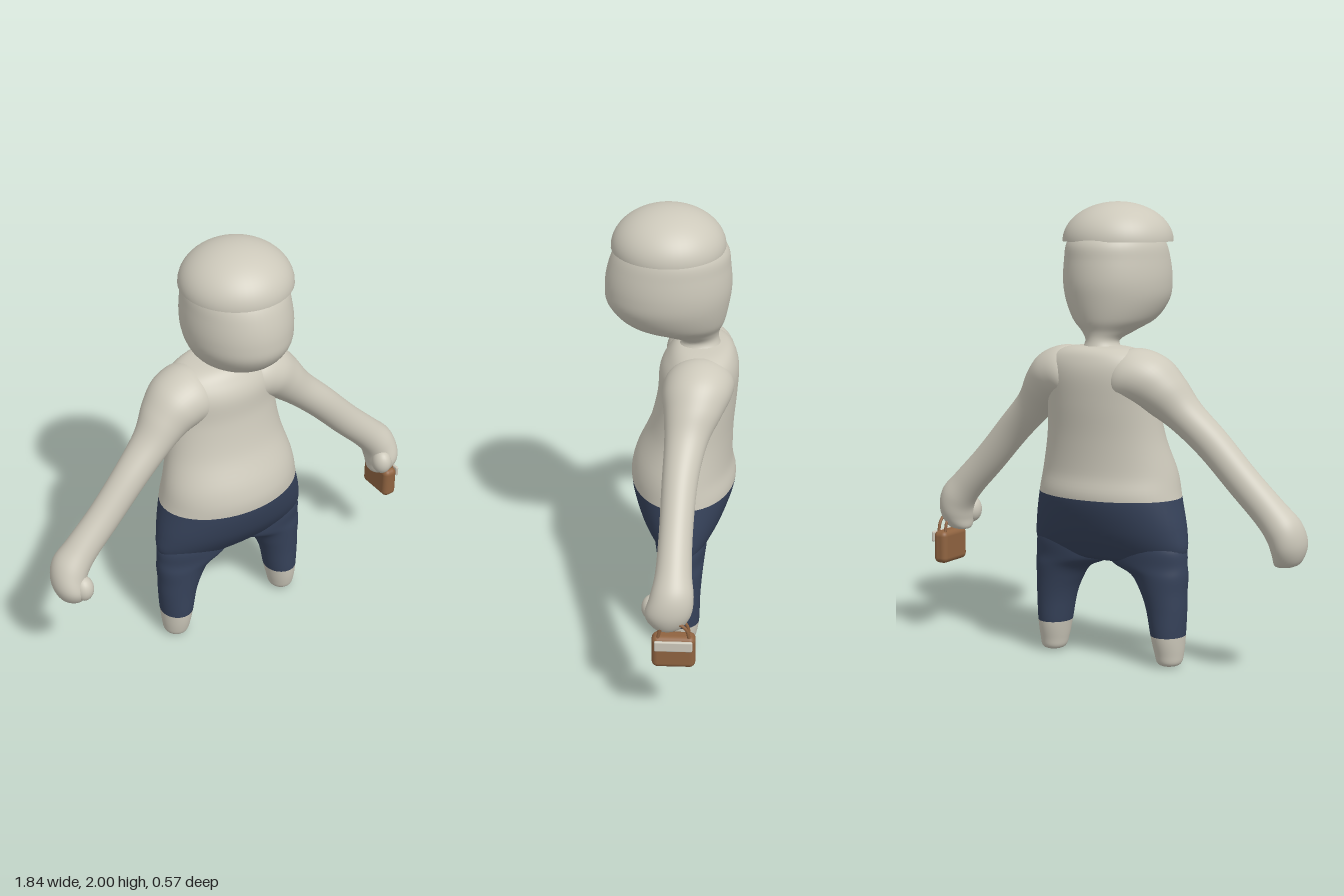
import * as THREE from 'three';
import { RoundedBoxGeometry } from 'three/addons/geometries/RoundedBoxGeometry.js';

const skin = new THREE.MeshStandardMaterial({ color: 0xcdc9bb, name: 'pale clay', side: THREE.DoubleSide });
const cloth = new THREE.MeshStandardMaterial({ color: 0x36425a, name: 'navy cloth' });
const leather = new THREE.MeshStandardMaterial({ color: 0x8f6340, name: 'brown leather' });

// Smooth skin through elliptical sections [x, y, z, radius across, radius in z, tilt], listed upwards.
// bands: [first section index, material slot] marks where each colour starts.
function loft(sections, bands = [[0, 0]], sides = 48, steps = 6) {
  const path = new THREE.CatmullRomCurve3(
    sections.map(([x, y, z]) => new THREE.Vector3(x, y, z)), false, 'catmullrom');
  const size = new THREE.CatmullRomCurve3(
    sections.map(([, , , a, b, tilt = 0]) => new THREE.Vector3(a, b, tilt)), false, 'catmullrom');
  const rows = (sections.length - 1) * steps;
  const pos = [], index = [];
  for (let r = 0; r <= rows; r++) {
    const c = path.getPoint(r / rows), s = size.getPoint(r / rows);
    for (let i = 0; i < sides; i++) {
      const t = (i / sides) * Math.PI * 2, u = Math.cos(t) * s.x;
      pos.push(c.x + u * Math.cos(s.z), c.y + u * Math.sin(s.z), c.z + Math.sin(t) * s.y);
    }
  }
  for (let r = 0; r < rows; r++) {
    for (let i = 0; i < sides; i++) {
      const a = r * sides + i, b = r * sides + (i + 1) % sides;
      index.push(a, a + sides, b, b, a + sides, b + sides);
    }
  }
  const geo = new THREE.BufferGeometry();
  geo.setAttribute('position', new THREE.Float32BufferAttribute(pos, 3));
  geo.setIndex(index);
  geo.computeVertexNormals();
  bands.forEach(([start, slot], k) => {
    const end = k + 1 < bands.length ? bands[k + 1][0] : sections.length - 1;
    geo.addGroup(start * steps * sides * 6, (end - start) * steps * sides * 6, slot);
  });
  return geo;
}

const mirror = (sections, side) =>
  sections.map(([x, y, z, a, b, tilt = 0]) => [x * side, y, z, a, b, tilt * side]);

const TORSO = [
  [0, 0.45, -0.045, 0.005, 0.005],
  [0, 0.455, -0.045, 0.28, 0.085],
  [0, 0.50, -0.045, 0.368, 0.13],
  [0, 0.60, -0.045, 0.366, 0.19],
  [0, 0.74, -0.05, 0.335, 0.23],
  [0, 0.85, -0.05, 0.315, 0.215],
  [0, 1.00, -0.083, 0.278, 0.183],
  [0, 1.15, -0.107, 0.262, 0.172],
  [0, 1.27, -0.115, 0.265, 0.17],
  [0, 1.34, -0.125, 0.24, 0.145],
  [0, 1.38, -0.13, 0.165, 0.11],
  [0, 1.395, -0.13, 0.05, 0.05],
];

const HEAD = [
  [0, 1.36, -0.115, 0.10, 0.10],
  [0, 1.41, -0.115, 0.07, 0.083],
  [0, 1.45, -0.06, 0.108, 0.14],
  [0, 1.50, -0.008, 0.17, 0.213],
  [0, 1.58, 0.018, 0.213, 0.257],
  [0, 1.66, 0.018, 0.226, 0.267],
  [0, 1.75, 0.013, 0.221, 0.257],
  [0, 1.83, 0.004, 0.205, 0.232],
  [0, 1.90, 0.01, 0.15, 0.16],
  [0, 1.92, 0.01, 0.005, 0.005],
];

const LEG = [
  [0.295, 0, -0.045, 0.01, 0.01],
  [0.295, 0.015, -0.045, 0.05, 0.055],
  [0.293, 0.06, -0.043, 0.063, 0.071],
  [0.288, 0.14, -0.045, 0.075, 0.085],
  [0.28, 0.25, -0.045, 0.09, 0.088],
  [0.265, 0.33, -0.045, 0.106, 0.093],
  [0.243, 0.40, -0.045, 0.133, 0.10],
  [0.19, 0.45, -0.045, 0.183, 0.108],
  [0.19, 0.52, -0.045, 0.177, 0.115],
  [0.18, 0.60, -0.045, 0.14, 0.11],
];

const ARM = [
  [0.838, 0.49, -0.01, 0.005, 0.005, 0.1],
  [0.838, 0.507, -0.012, 0.055, 0.06, 0.2],
  [0.845, 0.57, -0.015, 0.075, 0.095, 0.35],
  [0.825, 0.645, -0.03, 0.08, 0.09, 0.6],
  [0.76, 0.72, -0.035, 0.074, 0.075, 0.75],
  [0.64, 0.84, -0.04, 0.073, 0.07, 0.77],
  [0.50, 0.99, -0.05, 0.075, 0.075, 0.78],
  [0.38, 1.105, -0.07, 0.082, 0.09, 0.75],
  [0.295, 1.19, -0.095, 0.107, 0.12, 0.75],
  [0.215, 1.245, -0.11, 0.13, 0.145, 0.95],
  [0.12, 1.265, -0.12, 0.125, 0.14, 1.3],
  [0.05, 1.27, -0.12, 0.05, 0.05, 1.4],
];

export function createModel() {
  const model = new THREE.Group();
  model.name = 'figure';
  const add = (name, geo, mat, parent = model) => {
    const mesh = new THREE.Mesh(geo, mat);
    mesh.name = name;
    parent.add(mesh);
    return mesh;
  };

  // Body: trousers up to the waist, bare above; legs bare below the hem
  add('torso', loft(TORSO, [[0, 1], [4, 0]]), [skin, cloth]);
  add('head', loft(HEAD), [skin]);
  for (const [side, label] of [[1, 'left'], [-1, 'right']]) {
    add(label + 'Leg', loft(mirror(LEG, side), [[0, 0], [3, 1]]), [skin, cloth]);
    add(label + 'Arm', loft(mirror(ARM, side)), [skin]);
    const thumb = add(label + 'Thumb', new THREE.SphereGeometry(1, 24, 16), skin);
    thumb.scale.set(0.045, 0.06, 0.05);
    thumb.position.set(0.805 * side, 0.575, 0.045);
  }

  // Cap: half dome with a flat underside
  const cap = new THREE.Group();
  cap.name = 'cap';
  cap.position.set(0, 1.83, 0.017);
  model.add(cap);
  const dome = add('capDome', new THREE.SphereGeometry(1, 48, 20, 0, Math.PI * 2, 0, Math.PI / 2), skin, cap);
  dome.scale.set(0.24, 0.17, 0.24);
  add('capUnderside', new THREE.CircleGeometry(0.24, 48).rotateX(Math.PI / 2), skin, cap);

  // Handbag hanging below the left hand
  const bag = new THREE.Group();
  bag.name = 'handbag';
  bag.position.set(0.87, 0, -0.04);
  model.add(bag);
  add('bagBody', new RoundedBoxGeometry(0.07, 0.15, 0.18, 4, 0.025), leather, bag).position.y = 0.415;
  add('bagFlap', new RoundedBoxGeometry(0.014, 0.048, 0.156, 3, 0.006), skin, bag).position.set(0.044, 0.46, 0);
  for (const x of [-0.018, 0.018]) {
    const strap = new THREE.CatmullRomCurve3([[-0.065, 0.48], [-0.05, 0.53], [0, 0.56], [0.05, 0.53], [0.065, 0.48]]
      .map(([z, y]) => new THREE.Vector3(x, y, z)));
    add('bagHandle', new THREE.TubeGeometry(strap, 20, 0.007, 8), leather, bag);
  }
  return model;
}
